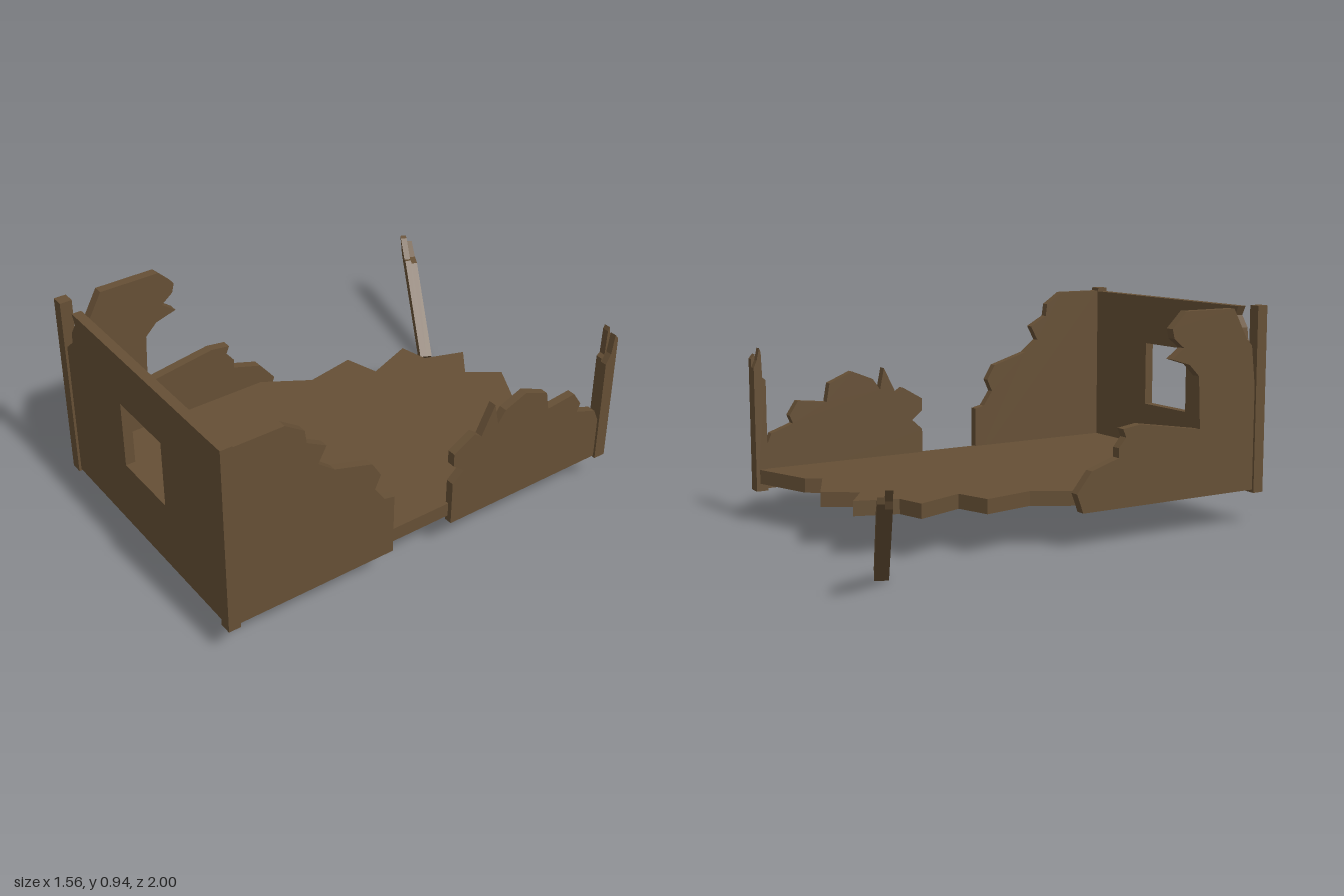
import * as THREE from 'three';

const wood = new THREE.MeshStandardMaterial({ color: 0x654f35, side: THREE.DoubleSide });
wood.name = 'weathered wood';

const shapeOf = pts => new THREE.Shape(pts.map(p => new THREE.Vector2(p[0], p[1])));
const slab = (shape, depth) => new THREE.ExtrudeGeometry(shape, { depth, bevelEnabled: false });

function add(group, name, geometry) {
  const mesh = new THREE.Mesh(geometry, wood);
  mesh.name = name;
  group.add(mesh);
  return mesh;
}

// Side wall from a [z, y] outline, filling x0..x1
function sideWall(group, name, outline, x0, x1) {
  const geo = slab(shapeOf(outline.map(([z, y]) => [-z, y])), x1 - x0);
  geo.rotateY(Math.PI / 2).translate(x0, 0, 0);
  return add(group, name, geo);
}

// Vertical strip round an [x, z] outline, from y0 up to y1
function skirt(outline, y0, y1) {
  const pos = [];
  outline.forEach(([ax, az], i) => {
    const [bx, bz] = outline[(i + 1) % outline.length];
    pos.push(ax, y0, az, bx, y1, bz, ax, y1, az, ax, y0, az, bx, y0, bz, bx, y1, bz);
  });
  const geo = new THREE.BufferGeometry();
  geo.setAttribute('position', new THREE.Float32BufferAttribute(pos, 3));
  geo.computeVertexNormals();
  return geo;
}

// Square post running along local y, made of two halves that split into uneven splinters
const splinters = [
  [[0.026, 0.46], [0.003, 0.5], [-0.01, 0.585], [-0.026, 0.565]],
  [[0.026, 0.475], [0.011, 0.487], [0.007, 0.595], [0, 0.612], [-0.012, 0.56], [-0.026, 0.53]],
];
function brokenPost(group, name, base, up, across) {
  const post = new THREE.Group();
  post.name = name;
  splinters.forEach((top, i) => {
    const geo = slab(shapeOf([[-0.026, 0], [0.026, 0], ...top]), 0.027);
    add(post, name + 'Half', geo.translate(0, 0, (i - 1) * 0.027));
  });
  const side = new THREE.Vector3().crossVectors(across, up);
  post.applyMatrix4(new THREE.Matrix4().makeBasis(across, up, side).setPosition(base));
  group.add(post);
}

export function createModel() {
  const model = new THREE.Group();
  model.name = 'ruinedCabin';

  // Floor with a torn back edge, drawn as [x, z]: a top sheet with a skirt, open below
  const floor = [
    [-0.37, 0.95], [0.745, 0.95], [0.745, -0.8], [0.72, -0.805], [0.45, -0.72],
    [0.41, -0.66], [0.17, -0.78], [0.08, -0.65], [-0.05, -0.745], [-0.11, -0.575],
    [-0.23, -0.545], [-0.15, -0.335], [-0.295, -0.29], [-0.255, -0.07], [-0.37, 0.12],
  ];
  const floorTop = new THREE.ShapeGeometry(shapeOf(floor.map(([x, z]) => [x, -z])));
  add(model, 'floor', floorTop.rotateX(-Math.PI / 2).translate(0, 0.235, 0));
  add(model, 'floorEdge', skirt(floor, 0.175, 0.235));

  // Front wall with a window opening and a broken corner
  const front = shapeOf([
    [-0.37, 0.15], [0.73, 0.15], [0.73, 0.925], [-0.295, 0.925], [-0.275, 0.885],
    [-0.31, 0.835], [-0.317, 0.785], [-0.37, 0.738],
  ]);
  front.holes.push(shapeOf([[0.048, 0.428], [0.048, 0.71], [0.343, 0.71], [0.343, 0.428]]));
  add(model, 'frontWall', slab(front, 0.04).translate(0, 0, 0.95));

  // Left wall: two broken sections with a gap between them
  sideWall(model, 'leftWallFront', [
    [0.95, 0.15], [0.95, 0.928], [0.74, 0.928], [0.66, 0.875], [0.652, 0.82],
    [0.57, 0.775], [0.605, 0.71], [0.535, 0.655], [0.37, 0.605], [0.33, 0.54],
    [0.355, 0.485], [0.31, 0.42], [0.265, 0.41], [0.265, 0.15],
  ], 0.73, 0.765);
  sideWall(model, 'leftWallBack', [
    [-0.015, 0.15], [-0.015, 0.34], [-0.065, 0.385], [-0.015, 0.425], [-0.015, 0.48],
    [-0.11, 0.535], [-0.145, 0.51], [-0.205, 0.63], [-0.225, 0.535], [-0.26, 0.585],
    [-0.36, 0.625], [-0.47, 0.58], [-0.485, 0.5], [-0.62, 0.515], [-0.66, 0.455],
    [-0.645, 0.42], [-0.745, 0.385], [-0.77, 0.33], [-0.77, 0.15],
  ], 0.73, 0.765);

  // Right wall, eaten away in the middle and beside the front post
  sideWall(model, 'rightWall', [
    [0.95, 0.155], [0.95, 0.6], [0.93, 0.77], [0.9, 0.8], [0.83, 0.928],
    [0.58, 0.928], [0.51, 0.86], [0.52, 0.82], [0.57, 0.78], [0.51, 0.737],
    [0.6, 0.71], [0.65, 0.66], [0.66, 0.44], [0.5, 0.465], [0.355, 0.487],
    [0.27, 0.475], [0.285, 0.44], [0.25, 0.4], [0.25, 0.36], [0.12, 0.32],
    [0.05, 0.235], [0.08, 0.155],
  ], -0.41, -0.37);

  // Whole corner posts at the front
  for (const [name, x, top] of [['rightFrontPost', -0.395, 0.935], ['leftFrontPost', 0.75, 0.941]]) {
    const geo = new THREE.BoxGeometry(0.05, top - 0.142, 0.05);
    add(model, name, geo.translate(x, (top + 0.142) / 2, 0.975));
  }

  // Broken back post, still standing
  brokenPost(model, 'leftBackPost', new THREE.Vector3(0.748, 0.142, -0.795),
    new THREE.Vector3(0, 1, 0), new THREE.Vector3(0, 0, 1));

  // Broken post leaning away from the building
  const along = new THREE.Vector3(-0.405, 0.4, -0.187).normalize();
  const level = new THREE.Vector3().crossVectors(along, new THREE.Vector3(0, 1, 0)).normalize();
  const upper = new THREE.Vector3().crossVectors(level, along);
  brokenPost(model, 'fallenPost', new THREE.Vector3(-0.361, 0.022, -0.786), along, upper);

  return model;
}
